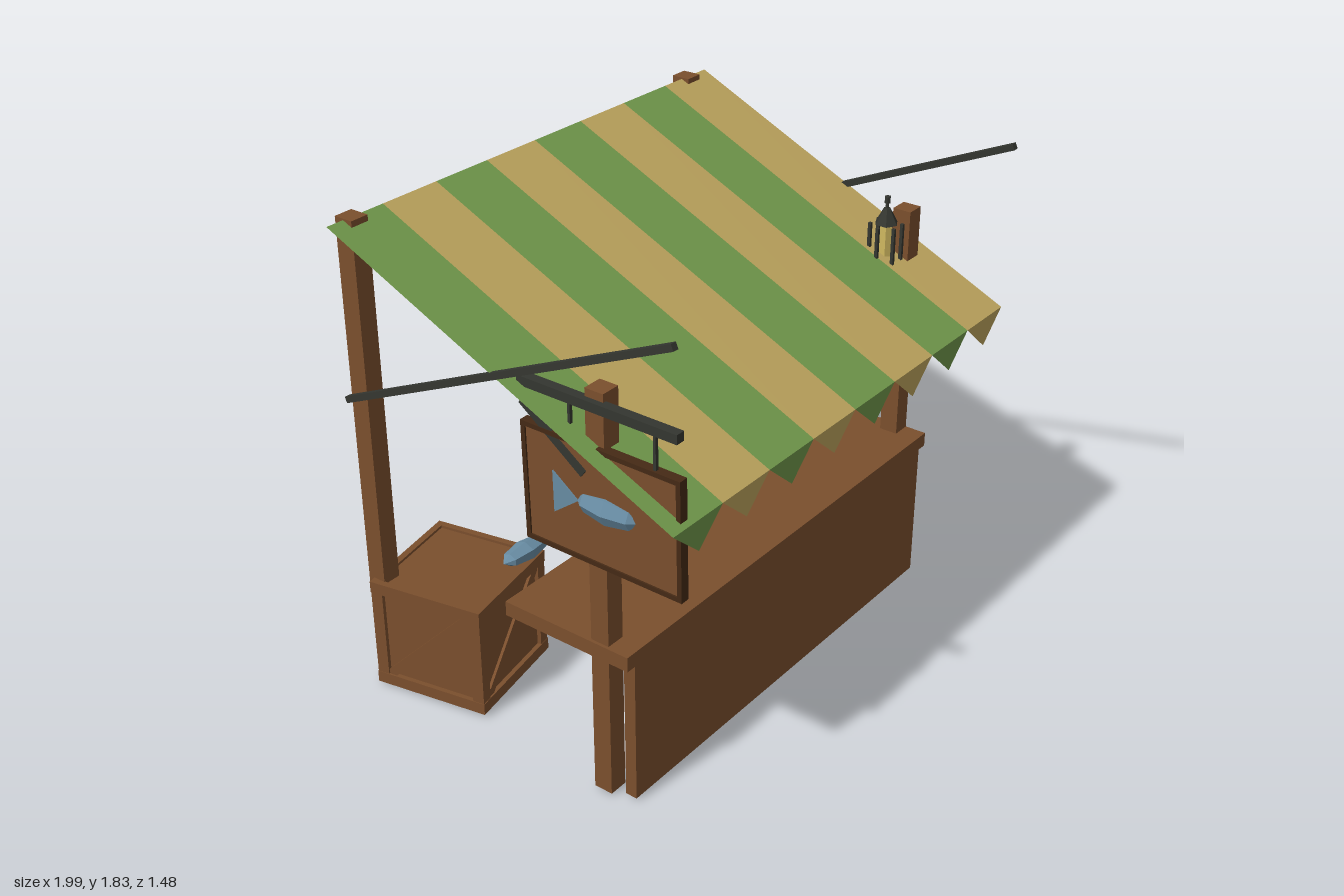
import * as THREE from 'three';

const mat = (name, color, extra = {}) => {
  const m = new THREE.MeshStandardMaterial({ color, ...extra });
  m.name = name;
  return m;
};

export function createModel() {
  const root = new THREE.Group();
  root.name = 'marketStall';

  const wood = mat('wood', 0x7b4f2d, { flatShading: true });
  const darkWood = mat('darkWood', 0x452a15, { flatShading: true });
  const metal = mat('darkMetal', 0x343630, { flatShading: true });
  const green = mat('greenCloth', 0x6f964a, { side: THREE.DoubleSide, flatShading: true });
  const tan = mat('tanCloth', 0xbaa25c, { side: THREE.DoubleSide, flatShading: true });
  const fishBlue = mat('fishBlue', 0x688ca3, { flatShading: true });
  const sackCloth = mat('sackCloth', 0xc2b18a, { flatShading: true });
  const glass = mat('lanternGlass', 0xd0b860, { flatShading: true });

  const add = (name, geo, material, x = 0, y = 0, z = 0, parent = root) => {
    const m = new THREE.Mesh(geo, material);
    m.name = name;
    m.position.set(x, y, z);
    parent.add(m);
    return m;
  };
  const box = (name, material, w, h, d, x, y, z, parent) =>
    add(name, new THREE.BoxGeometry(w, h, d), material, x, y, z, parent);
  const group = (name, x = 0, y = 0, z = 0) => {
    const g = new THREE.Group();
    g.name = name;
    g.position.set(x, y, z);
    root.add(g);
    return g;
  };
  // Square bar running between two points
  const bar = (name, material, a, b, t, parent) => {
    const p = new THREE.Vector3(...a), q = new THREE.Vector3(...b);
    const m = add(name, new THREE.BoxGeometry(t, t, p.distanceTo(q)), material, 0, 0, 0, parent);
    m.position.copy(p).add(q).multiplyScalar(0.5);
    m.quaternion.setFromUnitVectors(new THREE.Vector3(0, 0, 1), q.sub(p).normalize());
    return m;
  };

  // Posts
  for (const s of [-1, 1]) {
    box('frontPost', wood, 0.072, 1.525, 0.072, s * 0.873, 0.7825, 0.378);
    box('backPost', wood, 0.072, 1.815, 0.075, s * 0.878, 0.9275, -0.643 + s * 0.006);
  }

  // Counter
  box('counterFront', wood, 1.755, 0.55, 0.045, 0, 0.295, 0.473);
  box('counterTop', wood, 1.83, 0.055, 0.52, -0.005, 0.598, 0.24);

  // Striped awning with pointed valance
  const awning = group('awning');
  const x0 = -0.985, step = 1.97 / 8, yB = 1.83, yF = 1.205, zF = 0.735;
  for (let i = 0; i < 8; i++) {
    const a = x0 + i * step, b = a + step;
    const zA = -0.65 + i * 0.0025, zB = zA + 0.0025;
    const V = (x, y, z) => new THREE.Vector3(x, y, z);
    const pts = [
      V(a, yF, zF), V(b, yF, zF), V(b, yB, zB),
      V(a, yF, zF), V(b, yB, zB), V(a, yB, zA),
      V(a, yF, zF), V((a + b) / 2, 1.097, zF + 0.003), V(b, yF, zF),
    ];
    const g = new THREE.BufferGeometry().setFromPoints(pts);
    g.computeVertexNormals();
    add('awningStripe', g, i % 2 ? tan : green, 0, 0, 0, awning);
  }

  // Side rods crossing the awning
  for (const s of [-1, 1])
    bar('sideRod', metal, [s * 0.977, 1.83, 0.735], [s * 0.985, 1.22, -0.625], 0.023);

  // Fish, turning gradually along the counter
  const fishGeo = new THREE.SphereGeometry(1, 6, 4).rotateZ(Math.PI / 2);
  for (let i = 0; i < 5; i++) {
    const f = add('fish', fishGeo, fishBlue, -0.7 + i * 0.349, 0.673, -0.125);
    f.scale.set(0.11, 0.033, 0.045);
    f.rotation.y = (i / 4) * Math.PI / 2;
  }

  // Hanging sign
  const sign = group('sign', -0.905, 1.142, 0.403);
  sign.rotation.z = 0.02;
  box('signPanel', wood, 0.022, 0.41, 0.6, 0, 0, 0, sign);
  for (const s of [-1, 1]) {
    box('signFrameRail', darkWood, 0.034, 0.017, 0.625, 0, s * 0.209, 0, sign);
    box('signFrameStile', darkWood, 0.034, 0.435, 0.017, 0, 0, s * 0.304, sign);
  }
  const body = add('signFishBody', new THREE.SphereGeometry(1, 6, 4).rotateX(Math.PI / 2), fishBlue, 0, 0, 0.02, sign);
  body.scale.set(0.045, 0.052, 0.128);
  const tail = new THREE.Shape([[0.09, 0], [0.19, 0.076], [0.19, -0.076]].map(p => new THREE.Vector2(...p)));
  add('signFishTail',
    new THREE.ExtrudeGeometry(tail, { depth: 0.032, bevelEnabled: false }).translate(0, 0, -0.016).rotateY(Math.PI / 2),
    fishBlue, 0, 0, 0, sign);

  // Sign bracket
  const bracket = group('signBracket');
  box('bracketArm', metal, 0.035, 0.033, 0.62, -0.913, 1.5, 0.397, bracket);
  bar('bracketBrace', metal, [-0.91, 1.25, 0.34], [-0.91, 1.43, 0.095], 0.03, bracket);
  for (const z of [0.285, 0.615])
    box('signHanger', metal, 0.012, 0.15, 0.01, -0.913, 1.425, z, bracket);

  // Lantern
  const lantern = group('lantern', 0.793, 0, 0.342);
  const cyl = (name, material, rt, rb, h, y, n = 6) =>
    add(name, new THREE.CylinderGeometry(rt, rb, h, n), material, 0, y, 0, lantern);
  cyl('lanternGlass', glass, 0.025, 0.025, 0.13, 1.43);
  cyl('lanternBase', metal, 0.028, 0.028, 0.012, 1.36);
  cyl('lanternRoof', metal, 0.012, 0.045, 0.06, 1.53);
  cyl('lanternStem', metal, 0.007, 0.007, 0.03, 1.57);
  cyl('lanternKnob', metal, 0.012, 0.012, 0.025, 1.592);
  for (let i = 0; i < 6; i++) {
    const a = i * Math.PI / 3;
    box('lanternBar', metal, 0.012, 0.145, 0.012,
      Math.cos(a) * 0.058, 1.427, Math.sin(a) * 0.058, lantern);
  }

  // Crate
  const crate = group('crate', -0.679, 0.238, -0.477);
  crate.rotation.y = 0.193;
  const S = 0.452, H = 0.435, t = 0.045;
  box('cratePanels', wood, S - 0.035, H - 0.02, S - 0.035, 0, 0, 0, crate);
  for (let i = 0; i < 4; i++) {
    const side = new THREE.Group();
    side.name = 'crateSide';
    side.rotation.y = i * Math.PI / 2;
    crate.add(side);
    const off = S / 2 - 0.0125;
    for (const s of [-1, 1]) {
      box('crateRail', wood, S, t, 0.025, 0, s * (H - t) / 2, off, side);
      box('crateStile', wood, t, H - 2 * t, 0.025, s * (S - t - 0.004) / 2, 0, off - 0.002, side);
    }
    const diag = box('crateDiagonal', wood, 0.49, 0.035, 0.018, 0, 0, off - 0.003, side);
    diag.rotation.z = Math.PI / 4;
  }

  // Tied sack
  const sack = group('sack', 0.66, 0, -0.415);
  add('sackBody', new THREE.IcosahedronGeometry(1, 1), sackCloth, 0, 0.196, 0, sack).scale.set(0.14, 0.187, 0.14);
  add('sackTie', new THREE.CylinderGeometry(0.052, 0.056, 0.022, 7), wood, 0, 0.388, 0, sack);
  add('sackNeck', new THREE.CylinderGeometry(0.065, 0.048, 0.06, 7), sackCloth, 0, 0.427, 0, sack);

  return root;
}
